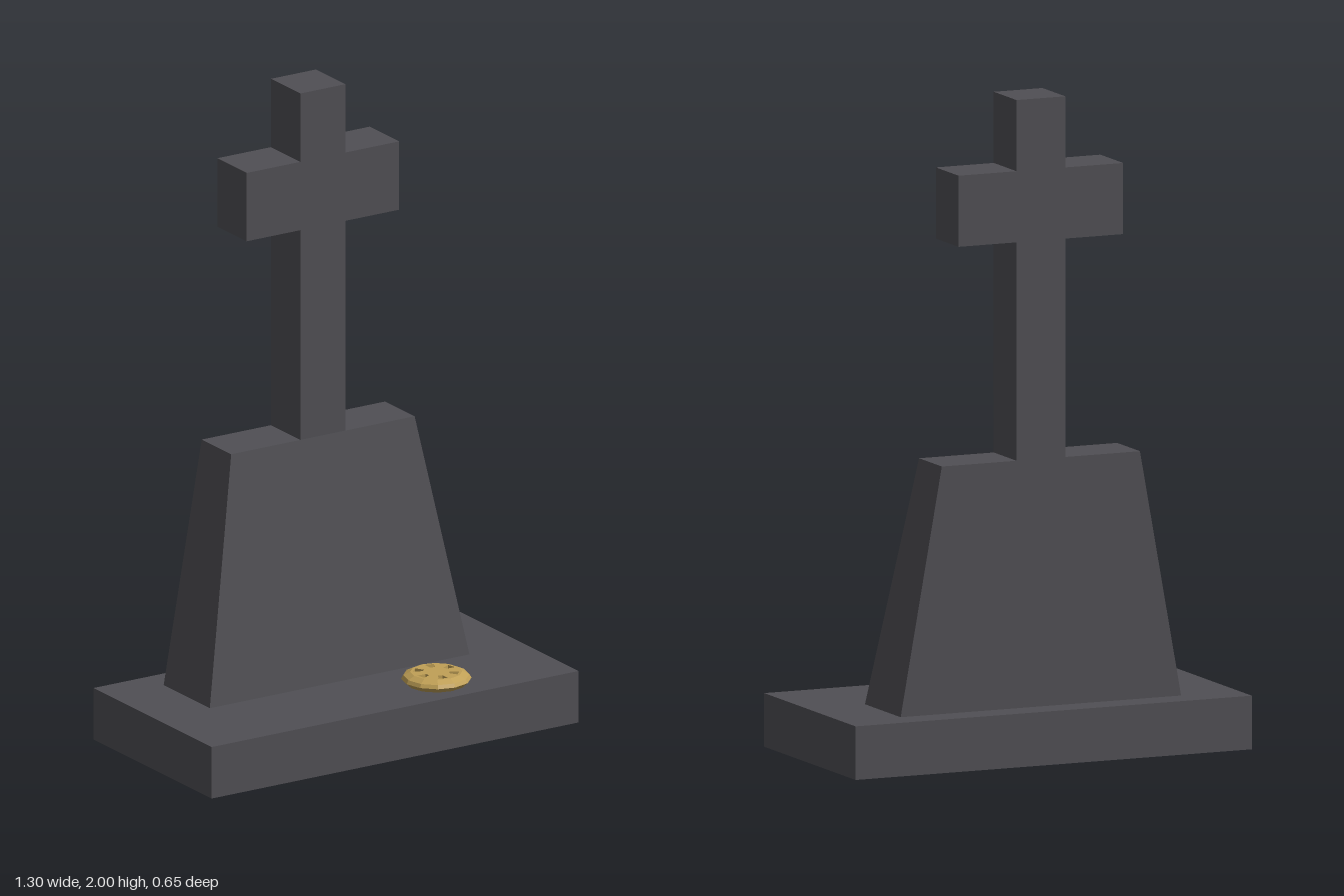
import * as THREE from 'three';

export function createModel() {
  const model = new THREE.Group();
  model.name = 'memorialStone';

  const stone = new THREE.MeshStandardMaterial({ color: 0x504f54 });
  stone.name = 'dark stone';
  const gold = new THREE.MeshStandardMaterial({ color: 0xc0a056, flatShading: true });
  gold.name = 'gold crust';

  const add = (name, geometry, material, parent = model) => {
    const mesh = new THREE.Mesh(geometry, material);
    mesh.name = name;
    parent.add(mesh);
    return mesh;
  };

  const baseTop = 0.162, blockTop = 0.91;
  const back = -0.234, front = -0.072, foot = 0.02;

  // Base slab
  add('baseSlab', new THREE.BoxGeometry(1.3, baseTop, 0.65), stone).position.y = baseTop / 2;

  // Pedestal: sides and front slope inward, back stays upright
  const block = new THREE.BoxGeometry(1, 1, 1);
  const p = block.attributes.position;
  for (let i = 0; i < p.count; i++) {
    const top = p.getY(i) > 0;
    const x = Math.sign(p.getX(i)) * (top ? 0.325 : 0.46);
    const z = p.getZ(i) < 0 ? back : top ? front : foot;
    p.setXYZ(i, x, top ? blockTop : baseTop, z);
  }
  block.computeVertexNormals();
  add('pedestal', block, stone);

  // Cross
  const half = [[0.08, blockTop], [0.08, 1.57], [0.27, 1.57], [0.27, 1.785], [0.08, 1.785], [0.08, 2]];
  const outline = [...half, ...half.map(([x, y]) => [-x, y]).reverse()];
  const crossShape = new THREE.Shape(outline.map(([x, y]) => new THREE.Vector2(x, y)));
  const cross = new THREE.ExtrudeGeometry(crossShape, { depth: front - back, bevelEnabled: false });
  add('cross', cross, stone).position.z = back;

  // Round pie offering on the slab
  const pie = new THREE.Group();
  pie.name = 'pie';
  pie.position.set(0.233, baseTop, 0.19);
  model.add(pie);

  const sides = 12, lidRadius = 0.078, lidY = 0.037, lidDepth = 0.012;
  const profile = [[0, 0], [0.088, 0], [0.105, 0.016], [0.099, 0.027], [lidRadius, lidY]];
  add('crustSide', new THREE.LatheGeometry(profile.map(([x, y]) => new THREE.Vector2(x, y)), sides), gold, pie);

  // Lid with six wedge-shaped vents
  const polar = (r, a) => new THREE.Vector2(r * Math.cos(a), r * Math.sin(a));
  const lid = new THREE.Shape(
    Array.from({ length: sides }, (_, i) => polar(lidRadius, (i * 2 * Math.PI) / sides)));
  for (let i = 0; i < 6; i++) {
    const a = Math.PI / 12 + (i * Math.PI) / 3;
    lid.holes.push(new THREE.Path([
      polar(0.04, a - 0.18), polar(0.04, a + 0.18), polar(0.069, a + 0.21), polar(0.069, a - 0.21),
    ]));
  }
  const lidGeometry = new THREE.ExtrudeGeometry(lid, { depth: lidDepth, bevelEnabled: false });
  lidGeometry.rotateX(-Math.PI / 2);
  add('ventedLid', lidGeometry, gold, pie).position.y = lidY - lidDepth;

  // Filling seen through the vents
  const filling = new THREE.CircleGeometry(lidRadius, sides).rotateX(-Math.PI / 2);
  add('filling', filling, gold, pie).position.y = lidY - lidDepth;

  return model;
}
